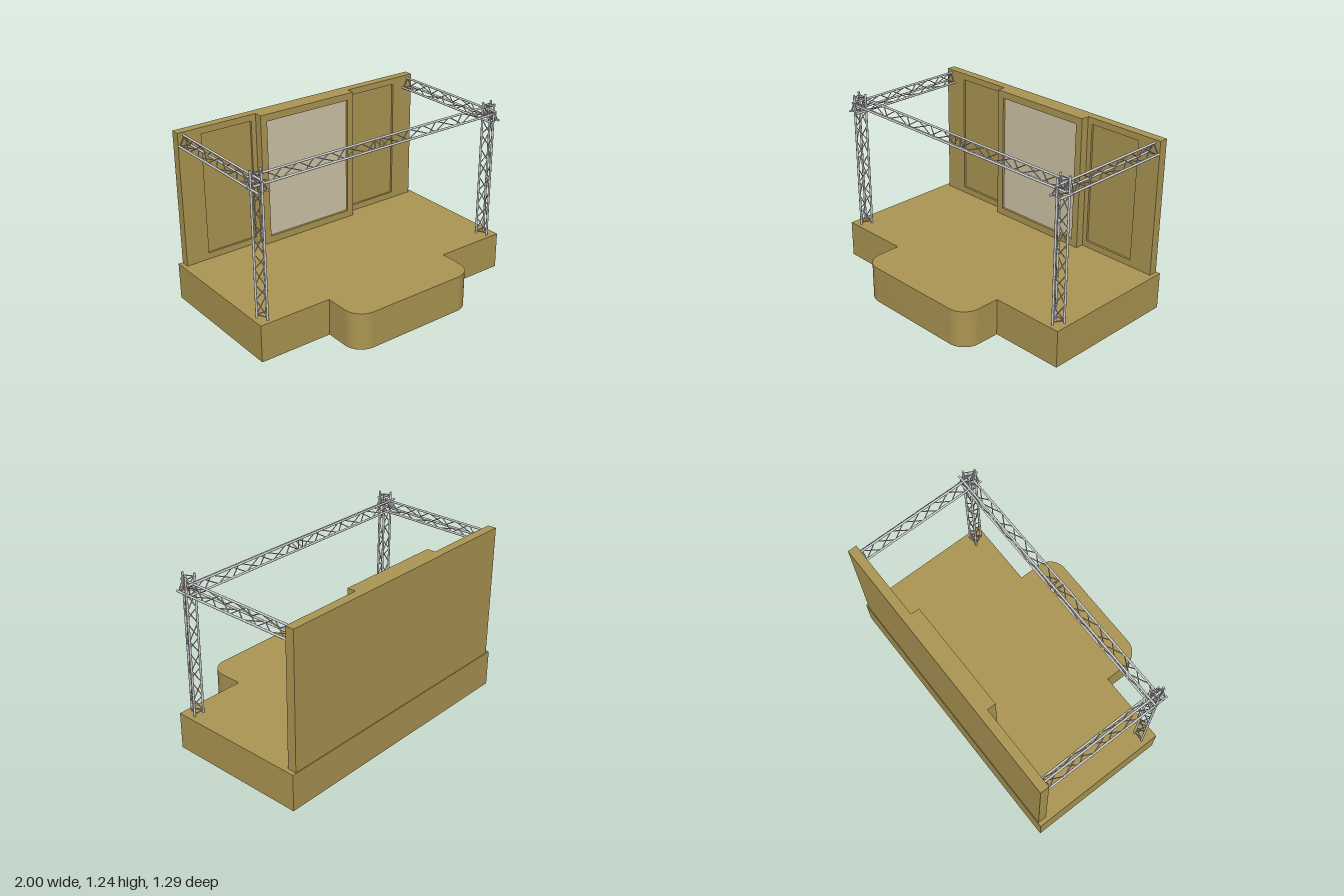
import * as THREE from 'three';
import { mergeGeometries, toCreasedNormals } from 'three/addons/utils/BufferGeometryUtils.js';

const wood = new THREE.MeshStandardMaterial({ color: 0xac9653, side: THREE.DoubleSide });
const screenMat = new THREE.MeshStandardMaterial({ color: 0xcfc4a6 });
const metal = new THREE.MeshStandardMaterial({ color: 0xcccccc });

const DECK = 0.26, BACK = -0.645, FRONT = 0.355;

function mesh(name, geometry, material) {
  const m = new THREE.Mesh(geometry, material);
  m.name = name;
  return m;
}

function rectPath(PathType, x0, y0, x1, y1) {
  return new PathType([[x0, y0], [x1, y0], [x1, y1], [x0, y1]].map(([x, y]) => new THREE.Vector2(x, y)));
}

// Deck piece with a top and side walls, open underneath; shape y is -z
function deckShell(name, shape) {
  const solid = new THREE.ExtrudeGeometry(shape, { depth: DECK, bevelEnabled: false, curveSegments: 12 });
  const { start, count } = solid.groups[1];
  const walls = new THREE.BufferGeometry();
  const positions = solid.attributes.position.array.slice(start * 3, (start + count) * 3);
  walls.setAttribute('position', new THREE.BufferAttribute(positions, 3));
  const top = new THREE.ShapeGeometry(shape, 12).translate(0, 0, DECK);
  const group = new THREE.Group();
  group.name = name;
  group.add(
    mesh(name + 'Walls', toCreasedNormals(walls, 0.6).rotateX(-Math.PI / 2), wood),
    mesh(name + 'Top', top.rotateX(-Math.PI / 2), wood)
  );
  return group;
}

// Centre deck running full depth, with a round-cornered tongue in front
function centreDeckShape() {
  const w = 0.485, f = -0.645, r = 0.13;
  const s = new THREE.Shape();
  s.moveTo(w, -BACK);
  s.lineTo(-w, -BACK);
  s.lineTo(-w, f + r);
  s.absarc(-w + r, f + r, r, Math.PI, Math.PI * 1.5, false);
  s.lineTo(w - r, f);
  s.absarc(w - r, f + r, r, Math.PI * 1.5, Math.PI * 2, false);
  s.closePath();
  return s;
}

// Slab between two heights and depths
function slab(name, halfWidth, z0, z1) {
  const g = new THREE.BoxGeometry(halfWidth * 2, 1.21 - DECK, z1 - z0);
  return mesh(name, g.translate(0, (1.21 + DECK) / 2, (z0 + z1) / 2), wood);
}

// Front layer of a wall with rectangular openings
function frame(name, halfWidth, z0, z1, openings) {
  const s = rectPath(THREE.Shape, -halfWidth, DECK, halfWidth, 1.21);
  openings.forEach(o => s.holes.push(rectPath(THREE.Path, ...o)));
  const g = new THREE.ExtrudeGeometry(s, { depth: z1 - z0, bevelEnabled: false });
  return mesh(name, g.translate(0, 0, z0), wood);
}

// Round bar between two points
function rod(a, b, radius, sides) {
  const dir = b.clone().sub(a);
  const g = new THREE.CylinderGeometry(radius, radius, dir.length(), sides);
  g.applyQuaternion(new THREE.Quaternion().setFromUnitVectors(new THREE.Vector3(0, 1, 0), dir.normalize()));
  return g.translate(...a.clone().add(b).multiplyScalar(0.5).toArray());
}

// Three-chord truss: place(t, u, v) maps run and cross-section to a point,
// lacing fills each [from, to] span
function truss(name, place, from, to, spans, pitch) {
  const corners = [[-0.036, -0.034], [0.036, -0.034], [0, 0.034]];
  const at = (t, i) => place(t, ...corners[i]);
  const parts = corners.map((c, i) => rod(at(from, i), at(to, i), 0.0075, 10));
  for (const [s, e] of spans) {
    const n = Math.round((e - s) / pitch);
    for (let i = 0; i < 3; i++) {
      const j = (i + 1) % 3;
      for (let k = 0; k < n; k++) {
        const t0 = s + (e - s) * k / n, t1 = s + (e - s) * (k + 1) / n;
        parts.push(k % 2 ? rod(at(t0, j), at(t1, i), 0.0035, 6) : rod(at(t0, i), at(t1, j), 0.0035, 6));
      }
      // end rungs
      parts.push(rod(at(s, i), at(s, j), 0.0035, 6), rod(at(e, i), at(e, j), 0.0035, 6));
    }
  }
  return mesh(name, mergeGeometries(parts), metal);
}

export function createModel() {
  const model = new THREE.Group();
  const V = (x, y, z) => new THREE.Vector3(x, y, z);

  // Stage floor
  model.add(
    deckShell('centreDeck', centreDeckShape()),
    deckShell('leftDeck', rectPath(THREE.Shape, 0.485, -FRONT, 1, -BACK)),
    deckShell('rightDeck', rectPath(THREE.Shape, -1, -FRONT, -0.485, -BACK))
  );

  // Back wall with a sunken panel on each side
  const panels = [[0.42, 0.305, 0.8, 1.165], [-0.8, 0.305, -0.42, 1.165]];
  model.add(
    slab('backWall', 0.97, -0.64, -0.592),
    frame('backWallFrame', 0.97, -0.592, -0.577, panels)
  );

  // Raised centre section holding the screen
  model.add(
    slab('centreWall', 0.385, -0.577, -0.54),
    frame('screenFrame', 0.385, -0.54, -0.517, [[-0.335, 0.31, 0.335, 1.16]])
  );
  const screen = new THREE.BoxGeometry(0.67, 0.85, 0.006).translate(0, 0.735, -0.536);
  model.add(mesh('screen', screen, screenMat));

  // Towers and side beams
  for (const [side, sx] of [['left', 1], ['right', -1]]) {
    const cx = sx * 0.927;
    model.add(
      truss(side + 'Tower', (t, u, v) => V(cx + u, t, 0.288 + v), DECK, 1.24, [[0.28, 1.22]], 0.1),
      truss(side + 'Beam', (t, u, v) => V(cx + u, 1.155 + v, t), -0.577, 0.34, [[-0.565, 0.325]], 0.115)
    );
  }

  // Front beam, joined at the middle
  model.add(truss('frontBeam', (t, u, v) => V(t, 1.155 + u, 0.262 + v), -0.975, 0.975,
    [[-0.96, -0.02], [0.02, 0.96]], 0.115));

  return model;
}
